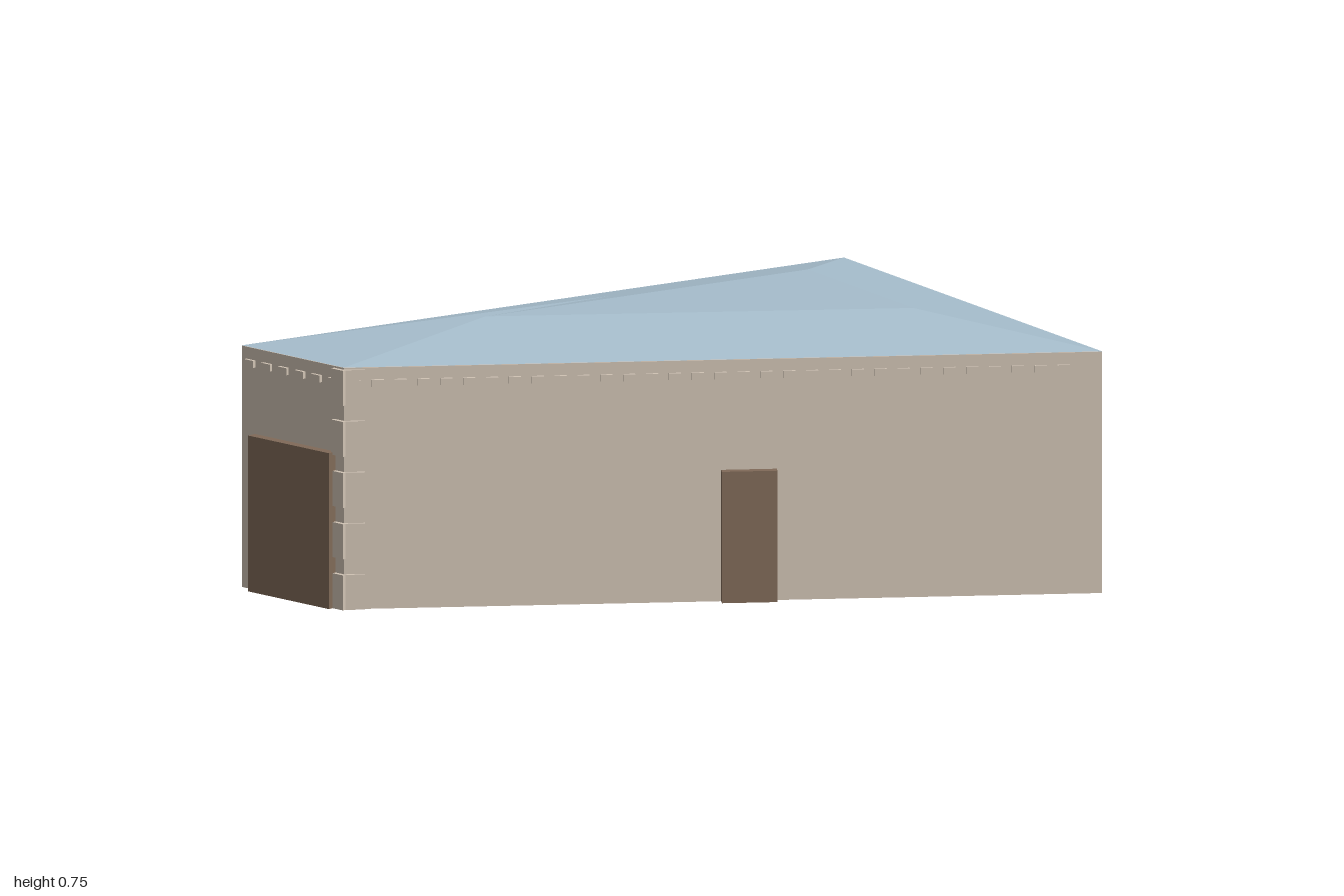
import * as THREE from 'three';

const H = 0.69, RIDGE = 0.755;
// Footprint corners as [x, z]
const A = [-0.98, -0.67], B = [1, -0.67], C = [1, 0.67], D = [-0.885, -0.29];

const wallMat = new THREE.MeshStandardMaterial({ color: 0xd0c3b4, flatShading: true });
const doorMat = new THREE.MeshStandardMaterial({ color: 0x806a58, flatShading: true });
const roofMat = new THREE.MeshStandardMaterial({ color: 0xa6bdcc, flatShading: true, side: THREE.DoubleSide });

// Box set on the wall running p -> q, centred at distance s along it, standing out by depth
function onWall(name, p, q, s, y, width, height, depth, mat) {
  const dx = q[0] - p[0], dz = q[1] - p[1], len = Math.hypot(dx, dz);
  const tx = dx / len, tz = dz / len;
  const mesh = new THREE.Mesh(new THREE.BoxGeometry(width, height, depth), mat);
  mesh.position.set(p[0] + tx * s - tz * depth / 2, y + height / 2, p[1] + tz * s + tx * depth / 2);
  mesh.rotation.y = -Math.atan2(tz, tx);
  mesh.name = name;
  return mesh;
}

// Upward-facing triangles from named roof points
function buildRoof() {
  const pts = {
    A: [A[0], H, A[1]], B: [B[0], H, B[1]], C: [C[0], H, C[1]], D: [D[0], H, D[1]],
    P: [0.69, RIDGE, -0.37], Q: [0.69, RIDGE, 0.18], R: [-0.37, RIDGE, -0.37],
  };
  // back slope, flat top, front slope, then the two long shallow end slopes
  const faces = ['ABP', 'BPR', 'PQR', 'DCQ', 'DQR', 'ADP', 'BCR'];
  const positions = [];
  for (const face of faces) {
    let [a, b, c] = [...face].map((k) => pts[k]);
    const up = (b[2] - a[2]) * (c[0] - a[0]) - (b[0] - a[0]) * (c[2] - a[2]);
    if (up < 0) [b, c] = [c, b];
    positions.push(...a, ...b, ...c);
  }
  const geo = new THREE.BufferGeometry();
  geo.setAttribute('position', new THREE.Float32BufferAttribute(positions, 3));
  geo.computeVertexNormals();
  const roof = new THREE.Mesh(geo, roofMat);
  roof.name = 'hippedRoof';
  return roof;
}

export function createModel() {
  const model = new THREE.Group();
  model.name = 'wedgeBuilding';

  // Wedge-shaped wall block
  const plan = new THREE.Shape([A, D, C, B].map(([x, z]) => new THREE.Vector2(x, -z)));
  const walls = new THREE.Mesh(
    new THREE.ExtrudeGeometry(plan, { depth: H - 0.001, bevelEnabled: false }).rotateX(-Math.PI / 2), wallMat);
  walls.name = 'walls';
  model.add(walls, buildRoof());

  const frontLen = Math.hypot(C[0] - D[0], C[1] - D[1]);
  const endLen = Math.hypot(D[0] - A[0], D[1] - A[1]);

  // Doors on the long front and the narrow end
  model.add(onWall('frontDoor', D, C, 1.13, 0, 0.155, 0.375, 0.025, doorMat));
  model.add(onWall('endDoor', A, D, 0.205, 0, 0.31, 0.445, 0.027, doorMat));

  // Row of small blocks under the eaves
  const dentils = new THREE.Group();
  dentils.name = 'eavesBlocks';
  for (let i = 0; i < 32; i++) {
    dentils.add(onWall('eavesBlock', D, C, 0.03 + i * 0.0638, 0.635, 0.034, 0.02, 0.009, wallMat));
  }
  for (let i = 0; i < 6; i++) {
    dentils.add(onWall('eavesBlock', A, D, 0.035 + i * 0.0638, 0.635, 0.034, 0.02, 0.009, wallMat));
  }
  model.add(dentils);

  // Corner stones wrapping the front corner of the narrow end
  const quoins = new THREE.Group();
  quoins.name = 'cornerStones';
  for (let i = 0; i < 5; i++) {
    const y = i * 0.146;
    quoins.add(onWall('cornerStone', D, C, 0.025, y, 0.066, 0.1, 0.008, wallMat));
    quoins.add(onWall('cornerStone', A, D, endLen - 0.015, y, 0.046, 0.1, 0.012, wallMat));
  }
  model.add(quoins);

  return model;
}
